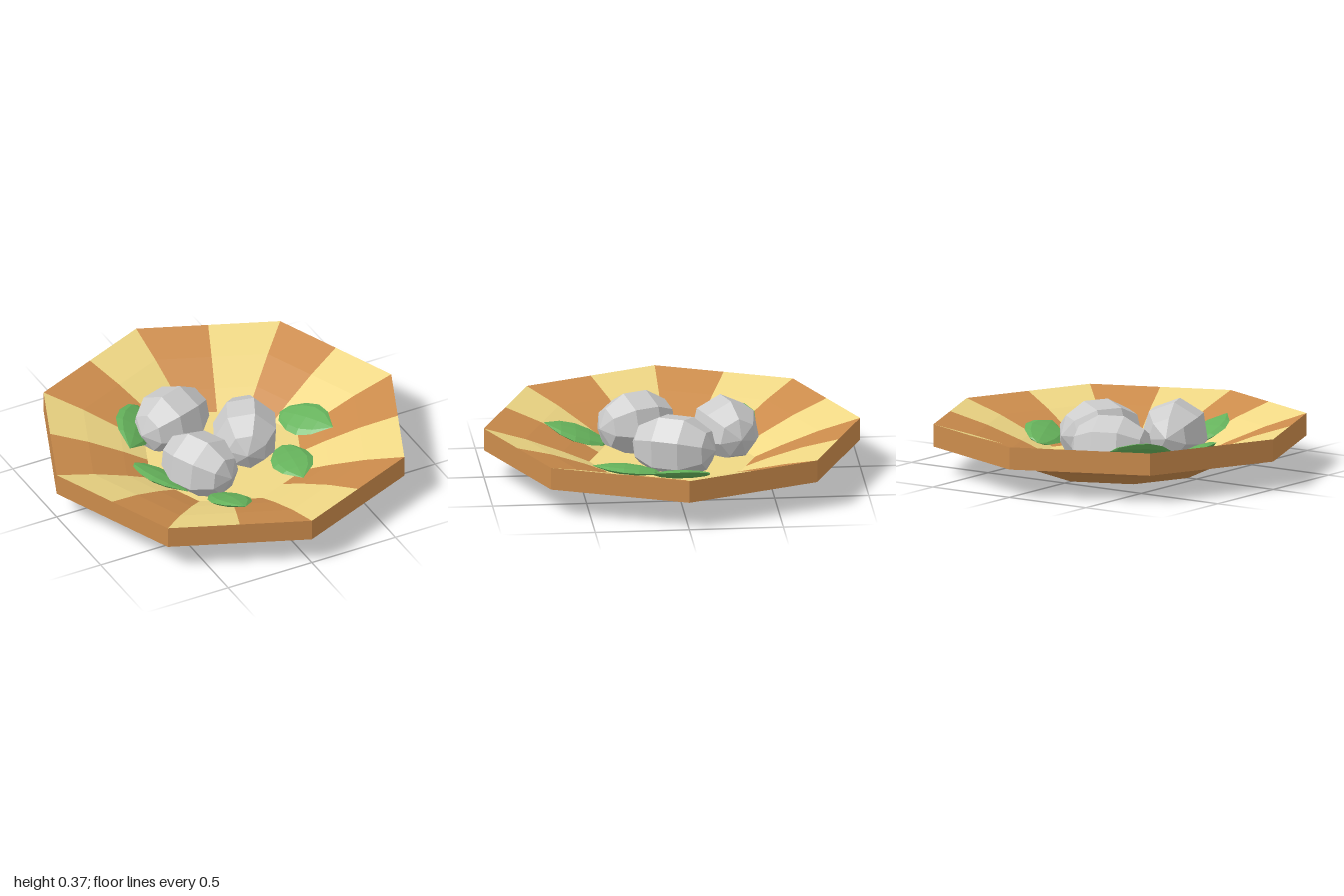
import * as THREE from 'three';

const BROWN = 0xcc8c4c, CREAM = 0xf0d885, GREEN = 0x66b35c, GREY = 0xcccccc;

function makeMesh(name, geometry, color) {
  const mesh = new THREE.Mesh(geometry, new THREE.MeshStandardMaterial({ color, flatShading: true }));
  mesh.name = name;
  return mesh;
}

// Octagonal shell swept from a profile of [radius, height]; each of the 8 sides is split in two sectors
function octagonShell(profile, useSector = () => true) {
  const positions = [];
  const point = ([r, y], i) => {
    const a = (i * Math.PI) / 8;
    const radius = i % 2 ? r * Math.cos(Math.PI / 8) : r;
    return [Math.sin(a) * radius, y, Math.cos(a) * radius];
  };
  for (let i = 0; i < 16; i++) {
    if (!useSector(i)) continue;
    for (let j = 0; j < profile.length - 1; j++) {
      const a = point(profile[j], i), b = point(profile[j], i + 1);
      const c = point(profile[j + 1], i + 1), d = point(profile[j + 1], i);
      if (profile[j][0] > 0) positions.push(...a, ...b, ...c);
      if (profile[j + 1][0] > 0) positions.push(...a, ...c, ...d);
    }
  }
  // Corners at zero radius leave one triangle per sector
  const geometry = new THREE.BufferGeometry();
  geometry.setAttribute('position', new THREE.Float32BufferAttribute(positions, 3));
  geometry.computeVertexNormals();
  return geometry;
}

function createBowl() {
  const bowl = new THREE.Group();
  bowl.name = 'bowl';
  const outside = [[0, 0.01], [0.445, 0.01], [0.58, 0.072], [0.78, 0.125], [1, 0.16], [1, 0.28]];
  const inside = [[1, 0.28], [0.78, 0.215], [0.58, 0.14], [0.44, 0.08]];
  bowl.add(
    makeMesh('bowlOutside', octagonShell(outside), BROWN),
    makeMesh('creamStripes', octagonShell(inside, (i) => i % 2 === 0), CREAM),
    makeMesh('brownStripes', octagonShell(inside, (i) => i % 2 === 1), BROWN),
    makeMesh('bowlFloor', octagonShell([[0.44, 0.08], [0, 0.08]]), CREAM),
  );
  return bowl;
}

// Faceted oval fruit with its poles along its length
function createFruit(x, y, z, dirX, dirZ, length, roll) {
  const geometry = new THREE.SphereGeometry(1, 7, 5);
  geometry.rotateX(Math.PI / 2);
  geometry.rotateZ(roll);
  geometry.scale(0.18, 0.18, length);
  const fruit = makeMesh('fruit', geometry, GREY);
  fruit.position.set(x, y, z);
  fruit.rotation.y = Math.atan2(dirX, dirZ);
  return fruit;
}

// Flat pointed leaf, leaning on the bowl wall
function createLeaf(x, y, z, dirX, dirZ, slope) {
  const profile = [[0, -0.18], [0.055, -0.15], [0.1, -0.07], [0.113, 0.01], [0.085, 0.09], [0, 0.185]];
  const geometry = new THREE.LatheGeometry(profile.map(([r, l]) => new THREE.Vector2(r, l)), 8);
  geometry.rotateX(Math.PI / 2);
  geometry.scale(1, 0.2, 1);
  const leaf = makeMesh('leaf', geometry, GREEN);
  leaf.position.set(x, y, z);
  const up = new THREE.Vector3(0, 1, 0);
  const outward = Math.hypot(x, z);
  const normal = new THREE.Vector3((-x / outward) * slope, 1, (-z / outward) * slope).normalize();
  leaf.quaternion.setFromUnitVectors(up, normal)
    .multiply(new THREE.Quaternion().setFromAxisAngle(up, Math.atan2(dirX, dirZ)));
  return leaf;
}

export function createModel() {
  const model = new THREE.Group();
  model.name = 'fruitBowl';
  model.add(createBowl());

  const fruits = [
    [-0.16, 0.19, -0.295, 0.21, -0.07, 0.225, 0.2],
    [0.13, 0.195, 0, 0.1, -0.21, 0.235, 0.5],
    [-0.235, 0.21, 0.17, 0.09, 0.21, 0.22, 0.3],
  ];
  for (const f of fruits) model.add(createFruit(...f));

  const leaves = [
    [-0.22, 0.17, 0.49, -0.01, 0.36, 0.4],
    [0.27, 0.12, 0.265, -0.06, 0.37, 0.15],
    [0.49, 0.155, 0, 0.16, 0.34, 0.4],
    [-0.43, 0.145, 0.1, 0.13, 0.29, 0.4],
    [-0.37, 0.19, -0.32, -0.17, 0.26, 0.65],
  ];
  for (const l of leaves) model.add(createLeaf(...l));
  return model;
}
